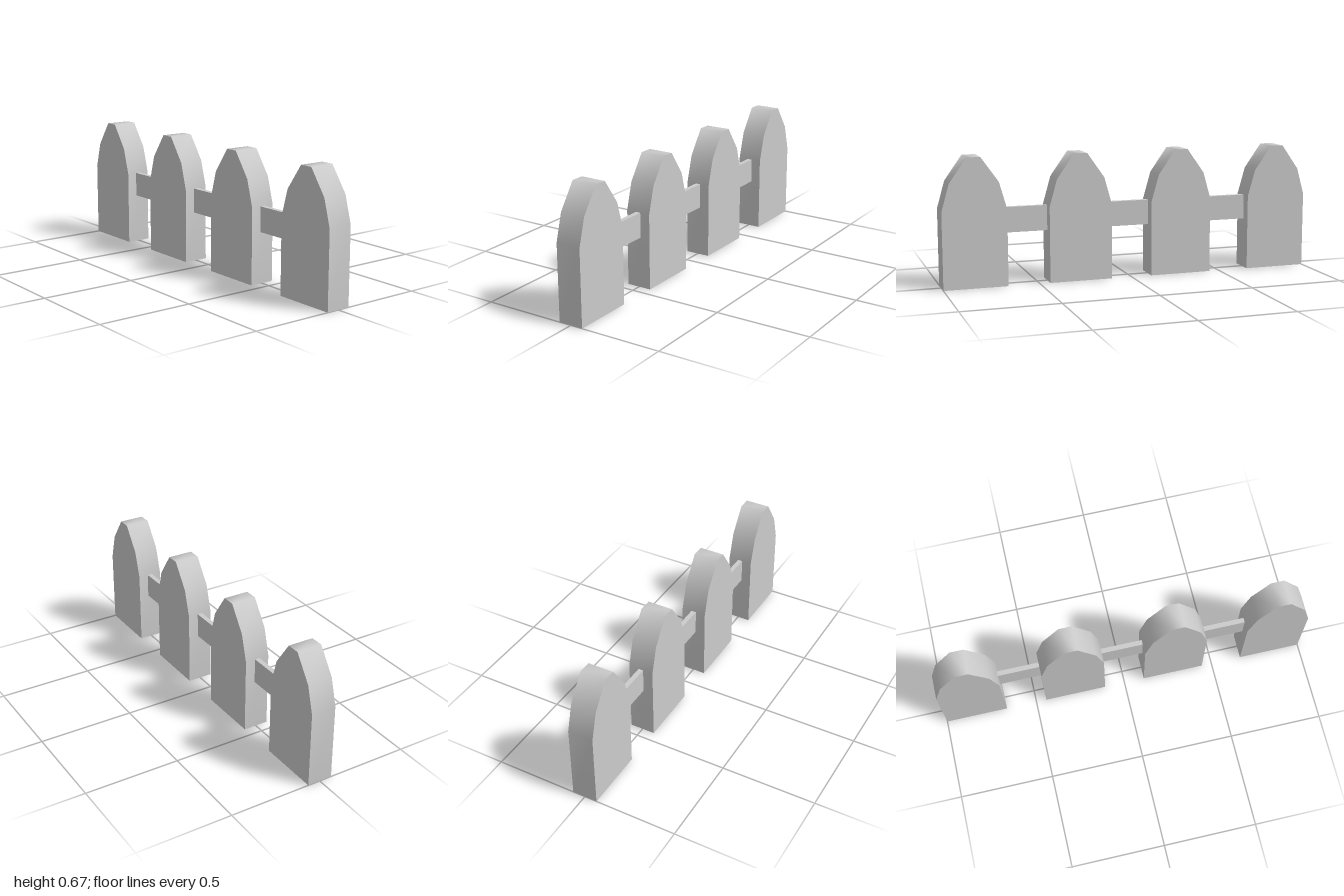
import * as THREE from 'three';
import { toCreasedNormals } from 'three/addons/utils/BufferGeometryUtils.js';

const HALF_WIDTH = 0.167, DEPTH = 0.134, SPACING = 0.5553, COUNT = 4;

export function createModel() {
  const fence = new THREE.Group();
  fence.name = 'picketFence';
  const material = new THREE.MeshStandardMaterial({ color: 0xcccccc });

  // Picket: right half of the outline, mirrored to the left
  const half = [[HALF_WIDTH, 0], [HALF_WIDTH, 0.4], [0.127, 0.54], [0.035, 0.67]];
  const outline = [...half, ...half.map(([x, y]) => [-x, y]).reverse()];
  const shape = new THREE.Shape(outline.map(([x, y]) => new THREE.Vector2(x, y)));
  const extruded = new THREE.ExtrudeGeometry(shape, { depth: DEPTH, bevelEnabled: false });
  extruded.translate(0, 0, -DEPTH / 2);
  // Shoulders and tip shade smoothly, front and bottom edges stay sharp
  const picketGeometry = toCreasedNormals(extruded, THREE.MathUtils.degToRad(60));

  // Rail piece filling the gap between two pickets
  const railGeometry = new THREE.BoxGeometry(SPACING - 2 * HALF_WIDTH, 0.132, 0.026);

  for (let i = 0; i < COUNT; i++) {
    const x = (i - (COUNT - 1) / 2) * SPACING;
    const picket = new THREE.Mesh(picketGeometry, material);
    picket.name = `picket${i + 1}`;
    picket.position.x = x;
    fence.add(picket);

    if (i < COUNT - 1) {
      const rail = new THREE.Mesh(railGeometry, material);
      rail.name = `rail${i + 1}`;
      rail.position.set(x + SPACING / 2, 0.335, 0);
      fence.add(rail);
    }
  }
  return fence;
}
